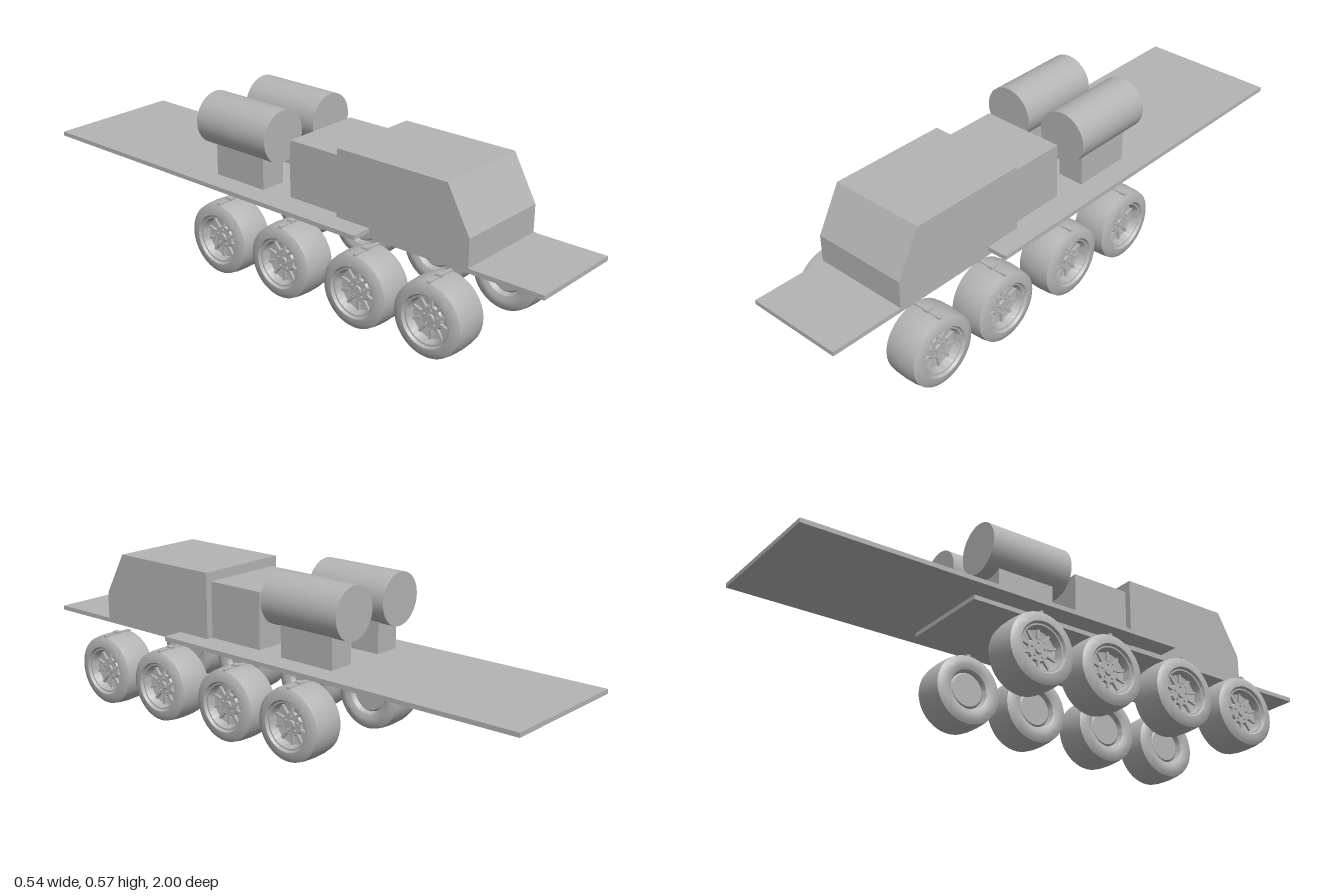
import * as THREE from 'three';
import { toCreasedNormals } from 'three/addons/utils/BufferGeometryUtils.js';

const grey = new THREE.MeshStandardMaterial({ color: 0xb4b4b4 });
grey.name = 'plain grey';

function add(parent, name, geometry, x = 0, y = 0, z = 0) {
  const mesh = new THREE.Mesh(geometry, grey);
  mesh.name = name;
  mesh.position.set(x, y, z);
  parent.add(mesh);
  return mesh;
}

// Box given by its half width and its y and z limits
function block(parent, name, halfWidth, y0, y1, z0, z1, x = 0) {
  const geometry = new THREE.BoxGeometry(halfWidth * 2, y1 - y0, z1 - z0);
  return add(parent, name, geometry, x, (y0 + y1) / 2, (z0 + z1) / 2);
}

// Wheel cross-section as (radius, offset along axle), inner centre to outer centre
const wheelProfile = [
  [0, -0.05], [0.056, -0.05], [0.062, -0.044], [0.069, -0.06], [0.085, -0.067],
  [0.1, -0.066], [0.112, -0.061], [0.119, -0.057], [0.1225, -0.035], [0.124, 0],
  [0.1225, 0.035], [0.119, 0.057], [0.112, 0.061], [0.1, 0.066], [0.085, 0.067],
  [0.079, 0.059], [0.074, 0.059], [0.067, 0.033], [0.04, 0.029], [0.036, 0.037],
  [0.014, 0.037], [0.012, 0.043], [0, 0.043],
].map(([r, a]) => new THREE.Vector2(r, a));

const tyreGeometry = toCreasedNormals(
  new THREE.LatheGeometry(wheelProfile, 48).rotateZ(-Math.PI / 2), 0.6);
const boltGeometry = new THREE.CylinderGeometry(0.004, 0.004, 0.008, 8).rotateZ(-Math.PI / 2);
const spokeGeometry = new THREE.BoxGeometry(0.01, 0.034, 0.009);

// One wheel, its outer face towards +x
function makeWheel() {
  const wheel = new THREE.Group();
  wheel.name = 'wheel';
  add(wheel, 'tyreAndRim', tyreGeometry);
  for (let i = 0; i < 5; i++) {
    const a = i / 5 * Math.PI * 2;
    add(wheel, 'wheelBolt', boltGeometry, 0.039, Math.cos(a) * 0.025, Math.sin(a) * 0.025);
  }
  for (let i = 0; i < 10; i++) {
    const a = i / 10 * Math.PI * 2;
    const spoke = add(wheel, 'rimSpoke', spokeGeometry, 0.034, Math.cos(a) * 0.052, Math.sin(a) * 0.052);
    spoke.rotation.x = a;
  }
  // Small raised seam on the crown of the tyre
  add(wheel, 'tyreSeam', new THREE.BoxGeometry(0.112, 0.008, 0.012), 0, 0.122, 0);
  add(wheel, 'tyreKnob', new THREE.BoxGeometry(0.02, 0.008, 0.022), 0, 0.127, 0);
  return wheel;
}

export function createModel() {
  const model = new THREE.Group();
  model.name = 'eightWheelTruck';

  // Chassis plates
  block(model, 'lowerChassisPlate', 0.17, 0.27, 0.285, -0.375, 1);
  block(model, 'rearBedPlate', 0.242, 0.287, 0.302, -1, 0.38);

  // Cab with sloping windscreen, drawn from the side
  const side = new THREE.Shape([
    [0.25, 0.285], [0.745, 0.285], [0.745, 0.378], [0.662, 0.528], [0.25, 0.528],
  ].map(([z, y]) => new THREE.Vector2(z, y)));
  const cab = new THREE.ExtrudeGeometry(side, { depth: 0.34, bevelEnabled: false });
  cab.translate(0, 0, -0.17).rotateY(-Math.PI / 2);
  add(model, 'cab', cab);

  // Housing behind the cab
  block(model, 'rearHousing', 0.147, 0.285, 0.495, 0.035, 0.25);

  for (const s of [-1, 1]) {
    // Tank on its pedestal
    const tank = new THREE.CylinderGeometry(0.0885, 0.0885, 0.305, 40).rotateX(Math.PI / 2);
    add(model, 'tank', tank, s * 0.115, 0.484, -0.176);
    block(model, 'tankPedestal', 0.047, 0.302, 0.42, -0.28, -0.07, s * 0.115);

    // Four wheels on each side
    for (const z of [0.67, 0.396, 0.09, -0.183]) {
      const wheel = makeWheel();
      wheel.position.set(s * 0.201, 0.126, z);
      if (s < 0) wheel.rotation.y = Math.PI;
      model.add(wheel);
    }
  }
  return model;
}
